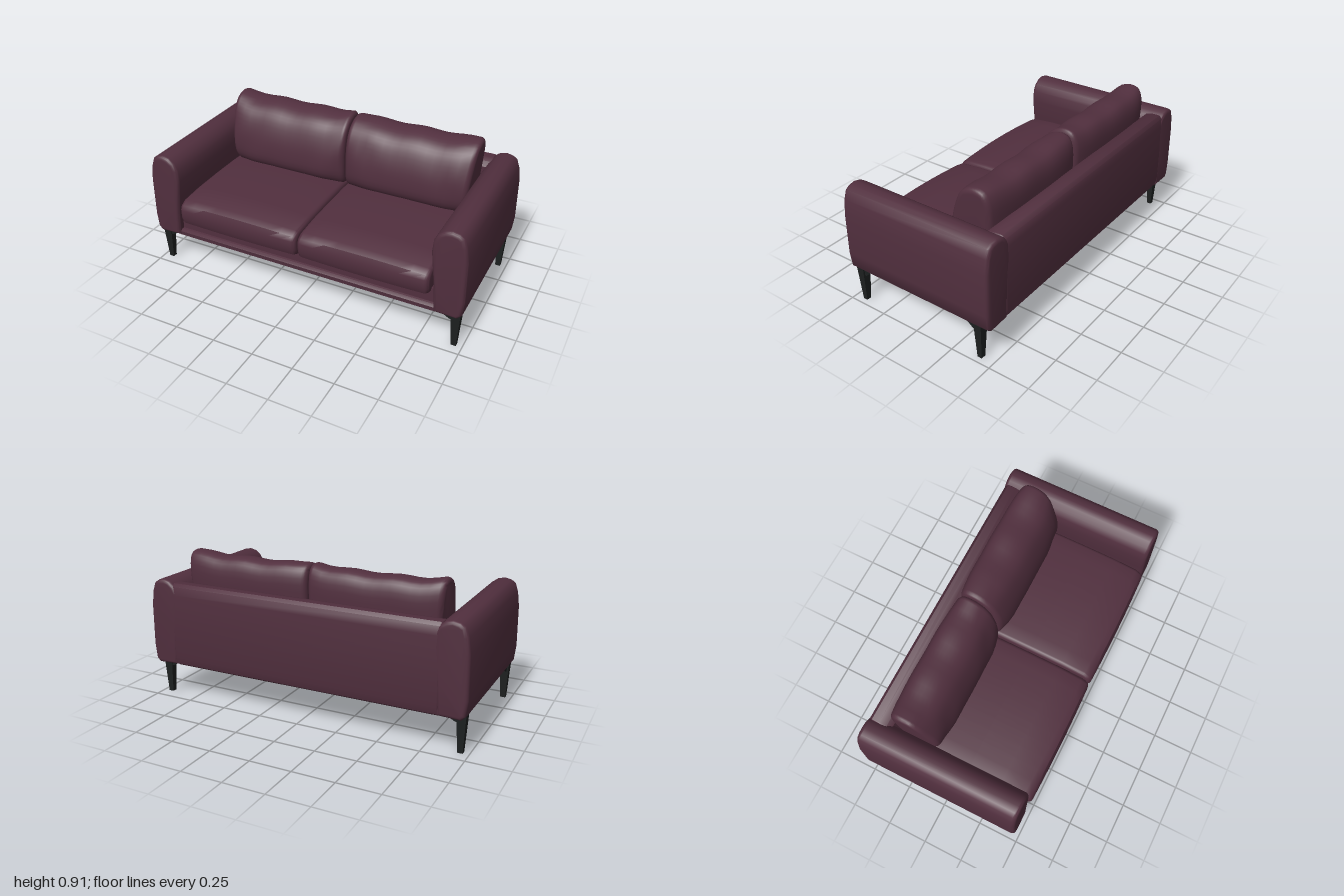
import * as THREE from 'three';
import { toCreasedNormals } from 'three/addons/utils/BufferGeometryUtils.js';

const fabric = new THREE.MeshStandardMaterial({ color: 0x512f3e });
fabric.name = 'plum fabric';
const dark = new THREE.MeshStandardMaterial({ color: 0x1d2020 });
dark.name = 'black legs';

// Bevelled solid from a closed smooth outline, running from a to b along its depth
function solid(points, a, b, bevel, steps = 1, smooth = 0) {
  let pts = points.map(([x, y]) => new THREE.Vector2(x, y));
  if (smooth) {
    const curve = new THREE.CatmullRomCurve3(pts.map(p => new THREE.Vector3(p.x, p.y, 0)), true);
    pts = curve.getPoints(smooth).slice(0, -1).map(p => new THREE.Vector2(p.x, p.y));
  }
  const geo = new THREE.ExtrudeGeometry(new THREE.Shape(pts), {
    depth: b - a - 2 * bevel, steps, bevelEnabled: true, bevelThickness: bevel,
    bevelSize: bevel, bevelOffset: -bevel, bevelSegments: 4,
  });
  return geo.translate(0, 0, a + bevel);
}

// Moves every vertex by a rule
function warp(geo, rule) {
  const p = geo.attributes.position, v = new THREE.Vector3();
  for (let i = 0; i < p.count; i++) {
    v.fromBufferAttribute(p, i);
    rule(v);
    p.setXYZ(i, v.x, v.y, v.z);
  }
  return geo;
}

function add(parent, name, geo, material, crease = 0.7) {
  const mesh = new THREE.Mesh(toCreasedNormals(geo, crease), material);
  mesh.name = name;
  parent.add(mesh);
  return mesh;
}

// Side outline (z, y) extruded across x
function across(points, x0, x1, bevel, steps, smooth) {
  const geo = solid(points.map(([z, y]) => [-z, y]), x0, x1, bevel, steps, smooth);
  return geo.rotateY(Math.PI / 2);
}

// Four-sided tapered post between two rectangles [x0, x1, z0, z1]
function post(top, bottom, yTop, yBottom) {
  const geo = new THREE.BoxGeometry(1, 1, 1);
  return warp(geo, v => {
    const r = v.y > 0 ? top : bottom;
    v.set(v.x < 0 ? r[0] : r[1], v.y > 0 ? yTop : yBottom, v.z < 0 ? r[2] : r[3]);
  });
}

export function createModel() {
  const sofa = new THREE.Group();
  sofa.name = 'sofa';

  // Arms: rounded top that leans over the seat
  const armOutline = [
    [0.83, 0.22], [0.965, 0.215], [0.99, 0.24], [1.0, 0.33], [0.997, 0.58], [0.985, 0.67],
    [0.967, 0.722], [0.94, 0.74], [0.9, 0.748], [0.86, 0.738], [0.825, 0.712],
    [0.803, 0.67], [0.797, 0.6], [0.81, 0.48], [0.82, 0.4],
  ];
  for (const s of [1, -1]) {
    const outline = armOutline.map(([x, y]) => [s * x, y]);
    if (s < 0) outline.reverse();
    add(sofa, s > 0 ? 'leftArm' : 'rightArm', solid(outline, -0.5, 0.486, 0.022), fabric);
  }

  // Backrest with a softly rounded top
  const backOutline = [
    [-0.36, 0.21], [-0.36, 0.69], [-0.385, 0.718], [-0.43, 0.728], [-0.475, 0.728],
    [-0.493, 0.71], [-0.5, 0.66], [-0.5, 0.27], [-0.488, 0.225], [-0.465, 0.21],
  ];
  add(sofa, 'backrest', across(backOutline, -0.84, 0.84, 0.008, 1), fabric);

  // Base: deck under the seat, front rail and bottom panel
  const box = (name, w, h, d, x, y, z) =>
    add(sofa, name, new THREE.BoxGeometry(w, h, d).translate(x, y, z), fabric);
  box('seatDeck', 1.66, 0.11, 0.84, 0, 0.285, 0.02);
  const railOutline = [[0.3, 0.2], [0.445, 0.2], [0.468, 0.215], [0.47, 0.24], [0.455, 0.252], [0.3, 0.252]];
  add(sofa, 'frontRail', across(railOutline, -0.84, 0.84, 0.005, 1), fabric);
  const panel = post([-0.95, 0.95, -0.46, 0.46], [-0.92, 0.92, -0.38, 0.42], 0.225, 0.197);
  add(sofa, 'bottomPanel', panel, fabric);

  // Seat cushions
  const seatOutline = [
    [0.46, 0.31], [0.49, 0.325], [0.504, 0.36], [0.505, 0.42], [0.493, 0.46], [0.455, 0.482],
    [0.3, 0.495], [0.1, 0.5], [-0.1, 0.5], [-0.3, 0.49], [-0.37, 0.47], [-0.37, 0.31],
  ];
  // Back cushions
  const pillowOutline = [
    [-0.14, 0.475], [-0.09, 0.53], [-0.085, 0.63], [-0.108, 0.74], [-0.15, 0.83], [-0.205, 0.875],
    [-0.285, 0.896], [-0.35, 0.882], [-0.382, 0.83], [-0.388, 0.7], [-0.37, 0.53], [-0.32, 0.475],
  ];
  for (const s of [1, -1]) {
    const side = s > 0 ? 'left' : 'right';
    const span = (a, b) => (s > 0 ? [a, b] : [-b, -a]);

    const seat = across(seatOutline, ...span(0.004, 0.8), 0.025, 10);
    warp(seat, v => {
      const u = (Math.abs(v.x) - 0.4) / 0.4;
      if (v.y > 0.44) v.y -= 0.014 * u * u;
      if (v.z > 0.44) v.z -= 0.008 * u * u;
    });
    add(sofa, side + 'SeatCushion', seat, fabric);

    const pillow = across(pillowOutline, ...span(0.004, 0.81), 0.03, 14, 40);
    warp(pillow, v => {
      const u = (Math.abs(v.x) - 0.407) / 0.403;
      const t = Math.max(0, (v.y - 0.47) / 0.43);
      // thinner towards the sides, with raised corners and shallow folds
      v.z = -0.24 + (v.z + 0.24) * (1 - 0.16 * u ** 4);
      v.y += t * (0.02 * u ** 4 - 0.006 + 0.005 * Math.sin(u * 9 + s));
      if (v.z > -0.2) v.z += 0.006 * Math.sin(u * 11 + v.y * 16) * u * u;
      v.x -= s * 0.03 * (1 - t) * Math.max(0, u);
    });
    add(sofa, side + 'BackCushion', pillow, fabric, 0.9);
  }

  // Legs: tapered posts with short braces running along both edges
  for (const s of [1, -1]) {
    for (const f of [1, -1]) {
      const leg = new THREE.Group();
      leg.name = (f > 0 ? 'front' : 'back') + (s > 0 ? 'Left' : 'Right') + 'Leg';
      const zc = f > 0 ? 0.428 : -0.412;
      const x = (a, b) => (s > 0 ? [a, b] : [-b, -a]);
      const z = (a, b) => (f > 0 ? [zc + a, zc + b] : [zc - b, zc - a]);
      add(leg, 'post', post([...x(0.922, 0.978), ...z(-0.024, 0.024)],
        [...x(0.935, 0.965), ...z(-0.014, 0.014)], 0.225, 0), dark, 0.3);
      add(leg, 'sideBrace', post([...x(0.865, 0.93), ...z(-0.015, 0.018)],
        [...x(0.915, 0.93), ...z(-0.015, 0.018)], 0.205, 0.178), dark, 0.3);
      add(leg, 'lengthBrace', post([...x(0.93, 0.968), ...z(-0.075, -0.01)],
        [...x(0.935, 0.965), ...z(-0.03, -0.01)], 0.218, 0.178), dark, 0.3);
      sofa.add(leg);
    }
  }
  return sofa;
}
